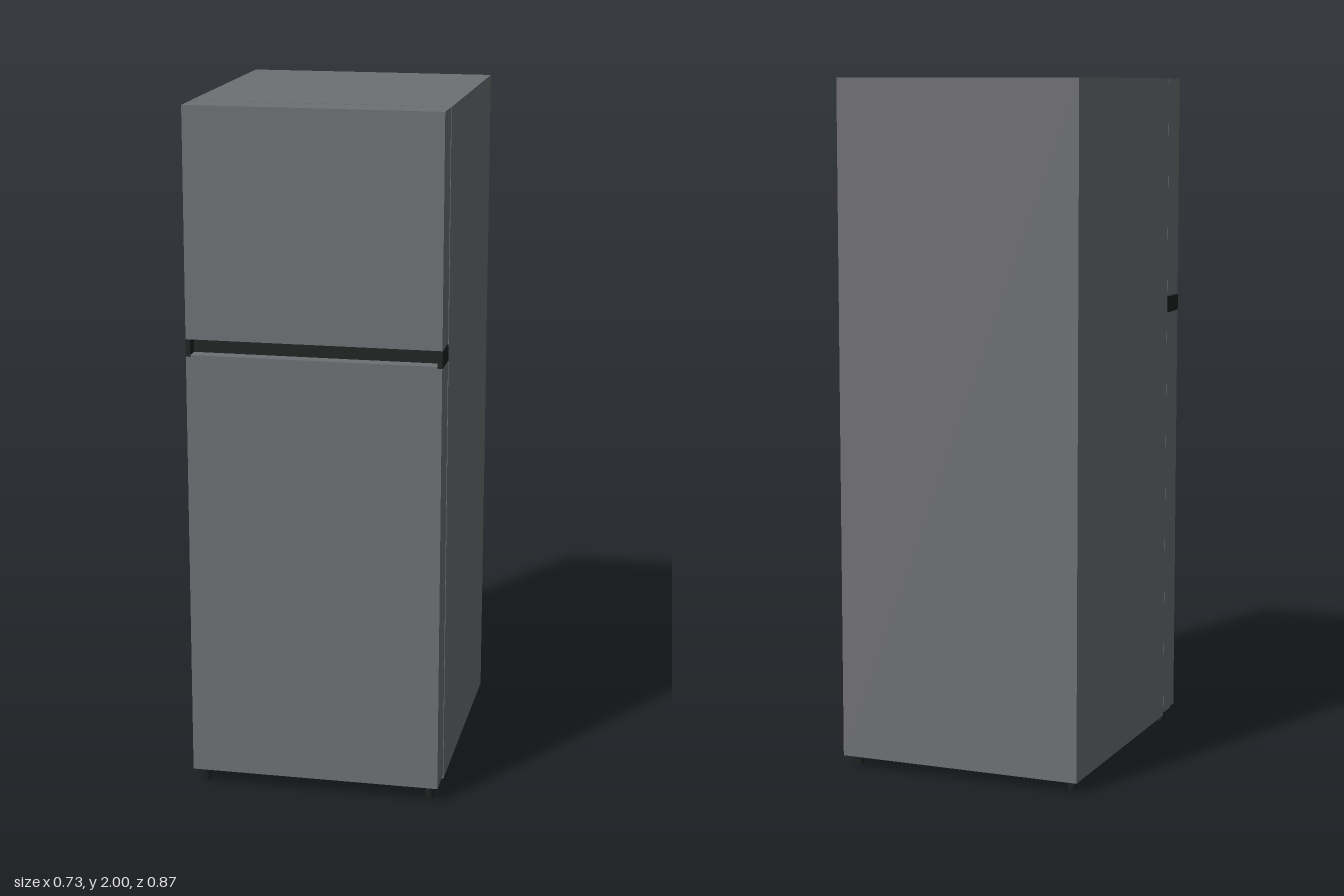
import * as THREE from 'three';

export function createModel() {
  const root = new THREE.Group();
  const steel = new THREE.MeshStandardMaterial({ color: 0x6e6f73 });
  steel.name = 'grey steel';
  const black = new THREE.MeshStandardMaterial({ color: 0x1e2020 });
  black.name = 'black plastic';

  // Box given by its min and max corners
  const box = (name, mat, [x0, y0, z0], [x1, y1, z1]) => {
    const mesh = new THREE.Mesh(new THREE.BoxGeometry(x1 - x0, y1 - y0, z1 - z0), mat);
    mesh.position.set((x0 + x1) / 2, (y0 + y1) / 2, (z0 + z1) / 2);
    mesh.name = name;
    root.add(mesh);
  };

  const W = 0.365, BACK = -0.433, BODY = 0.329, DOOR = 0.333, FRONT = 0.433;

  // Cabinet and the two doors
  box('cabinet', steel, [-W, 0.033, BACK], [W, 2, BODY]);
  box('freezerDoor', steel, [-W + 0.001, 1.345, DOOR], [W - 0.001, 2, FRONT]);
  box('fridgeDoor', steel, [-W + 0.001, 0.045, DOOR], [W - 0.001, 1.3, FRONT]);

  // Door seals set in from the edges
  box('freezerSeal', black, [-W + 0.01, 1.355, BODY], [W - 0.01, 1.99, DOOR]);
  box('fridgeSeal', black, [-W + 0.01, 0.055, BODY], [W - 0.01, 1.29, DOOR]);

  // Recessed grip between the doors, closed by end caps
  box('gripRecess', black, [-W + 0.012, 1.3, DOOR], [W - 0.012, 1.343, FRONT - 0.04]);
  for (const s of [-1, 1]) {
    const a = s * (W - 0.014), b = s * W;
    box('gripEndCap', black, [Math.min(a, b), 1.295, DOOR], [Math.max(a, b), 1.343, FRONT + 0.0005]);
  }

  // Feet, with a hinge bracket over each front one
  for (const x of [-0.335, 0.335]) {
    for (const z of [-0.387, 0.391]) {
      const top = z > 0 ? 0.037 : 0.033;
      const foot = new THREE.Mesh(new THREE.CylinderGeometry(0.013, 0.013, top, 20), black);
      foot.position.set(x, top / 2, z);
      foot.name = 'foot';
      root.add(foot);
    }
    box('hingeBracket', steel, [x - 0.025, 0.037, BODY], [x + 0.025, 0.045, 0.411]);
  }
  return root;
}
